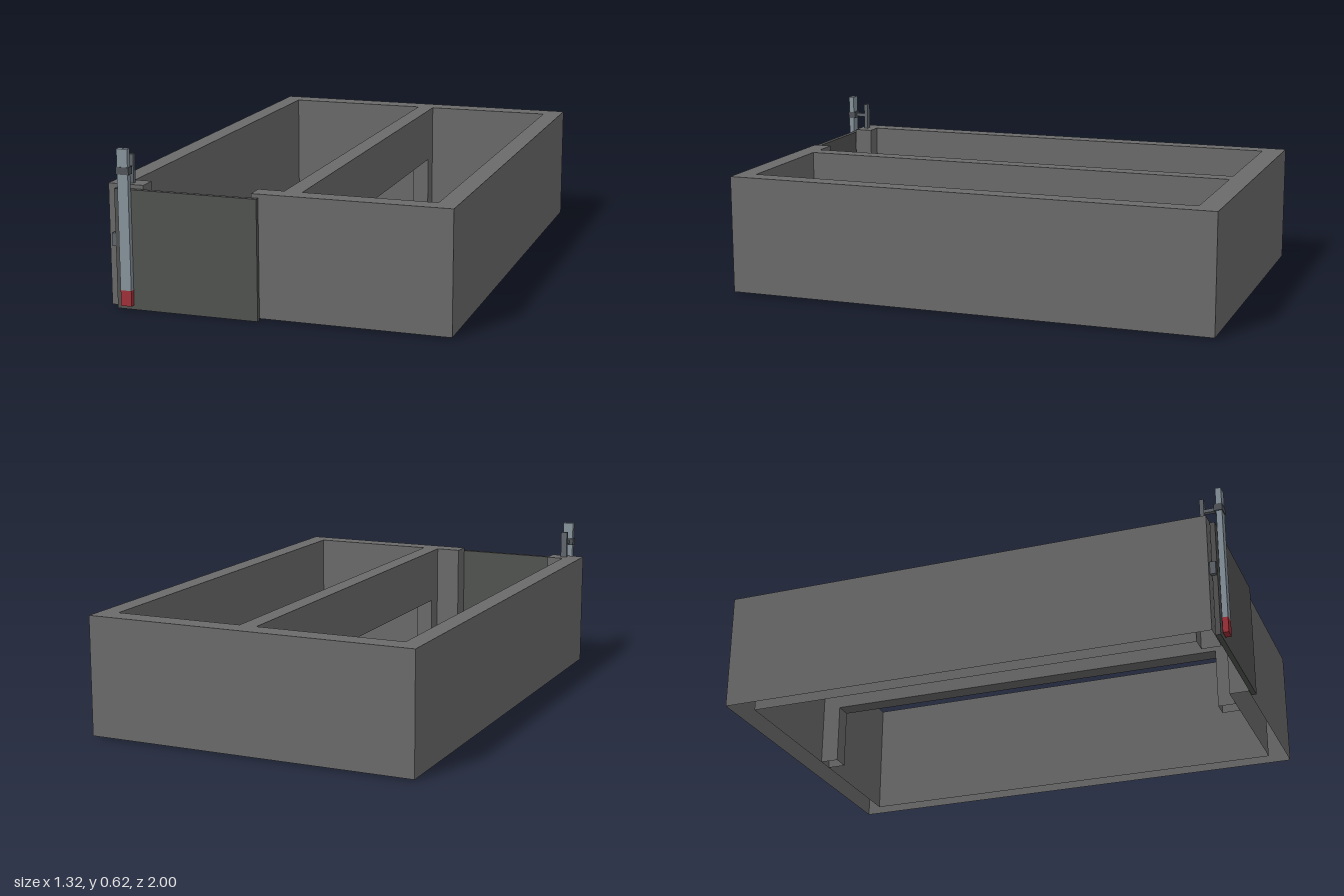
import * as THREE from 'three';

const mat = (color, side = THREE.FrontSide) => new THREE.MeshStandardMaterial({ color, side });

export function createModel() {
  const model = new THREE.Group();
  const wallGrey = mat(0x6a6a6b, THREE.DoubleSide);
  const charcoal = mat(0x515351);
  const darkMetal = mat(0x50555b);
  const stemMetal = mat(0x60666d);
  const steel = mat(0x87939c);
  const red = mat(0xa03038);

  const add = (name, geometry, material, parent) => {
    const mesh = new THREE.Mesh(geometry, material);
    mesh.name = name;
    parent.add(mesh);
  };

  const group = (name) => {
    const g = new THREE.Group();
    g.name = name;
    model.add(g);
    return g;
  };

  // Box given by its limits on each axis
  const box = (name, [x0, x1], [y0, y1], [z0, z1], material, parent) => {
    const g = new THREE.BoxGeometry(x1 - x0, y1 - y0, z1 - z0);
    g.translate((x0 + x1) / 2, (y0 + y1) / 2, (z0 + z1) / 2);
    add(name, g, material, parent);
  };

  // Plan outline of [x, z] points raised from y0 to y1, optionally hollow (no underside)
  const slab = (name, plan, y0, y1, hollow, parent) => {
    const shape = new THREE.Shape(plan.map(([x, z]) => new THREE.Vector2(x, -z)));
    let g = new THREE.ExtrudeGeometry(shape, { depth: y1 - y0, bevelEnabled: false });
    g.rotateX(-Math.PI / 2).translate(0, y0, 0);
    if (hollow) {
      // The lower lid is the first half of the lid triangles
      const lid = g.groups[0].count / 2;
      const open = new THREE.BufferGeometry();
      for (const key of ['position', 'normal']) {
        open.setAttribute(key, new THREE.BufferAttribute(g.attributes[key].array.slice(lid * 3), 3));
      }
      g = open;
    }
    add(name, g, wallGrey, parent);
  };

  // Outer walls, one continuous hollow run broken by the doorway at the front
  const floor = 0.005, top = 0.473;
  slab('outerWalls', [
    [-0.095, 0.95], [0.66, 0.95], [0.66, -1], [-0.66, -1], [-0.66, 0.95], [-0.52, 0.95],
    [-0.52, 0.875], [-0.587, 0.875], [-0.587, -0.913], [0.585, -0.913], [0.585, 0.875], [-0.095, 0.875],
  ], floor, top, true, model);

  // Slightly skewed partition: a beam on two end posts, open underneath
  const partition = group('partition');
  const zBack = -0.913, zFront = 0.875, lintel = 0.245;
  const left = (z) => 0.006 * (z - zBack) / (zFront - zBack);
  const right = (z) => left(z) + 0.069;
  const strip = (name, z0, z1, y0, y1, hollow) => slab(
    name, [[left(z0), z0], [left(z1), z1], [right(z1), z1], [right(z0), z0]], y0, y1, hollow, partition);
  strip('partitionBeam', zBack, zFront, lintel, top, false);
  strip('partitionBackPost', zBack, -0.84, floor, lintel, true);
  strip('partitionFrontPost', 0.805, zFront, floor, lintel, true);

  // Sliding door in front of the opening
  const door = group('door');
  box('doorPanel', [-0.626, -0.066], [0, 0.459], [0.955, 0.974], charcoal, door);
  box('doorPull', [-0.641, -0.626], [0.239, 0.289], [0.945, 0.972], stemMetal, door);

  // Upright bar with a red foot
  const bar = group('lockingBar');
  box('barShaft', [-0.601, -0.558], [0.078, 0.615], [0.976, 0.998], steel, bar);
  box('barFoot', [-0.601, -0.558], [0.018, 0.078], [0.976, 0.998], red, bar);

  // Bracket on the wall top that holds the bar
  const bracket = group('barBracket');
  box('bracketCollar', [-0.605, -0.554], [0.519, 0.547], [0.968, 1], darkMetal, bracket);
  box('bracketArm', [-0.589, -0.573], [0.526, 0.54], [0.928, 0.968], stemMetal, bracket);
  box('bracketStem', [-0.594, -0.568], [top, 0.583], [0.912, 0.928], stemMetal, bracket);

  return model;
}
